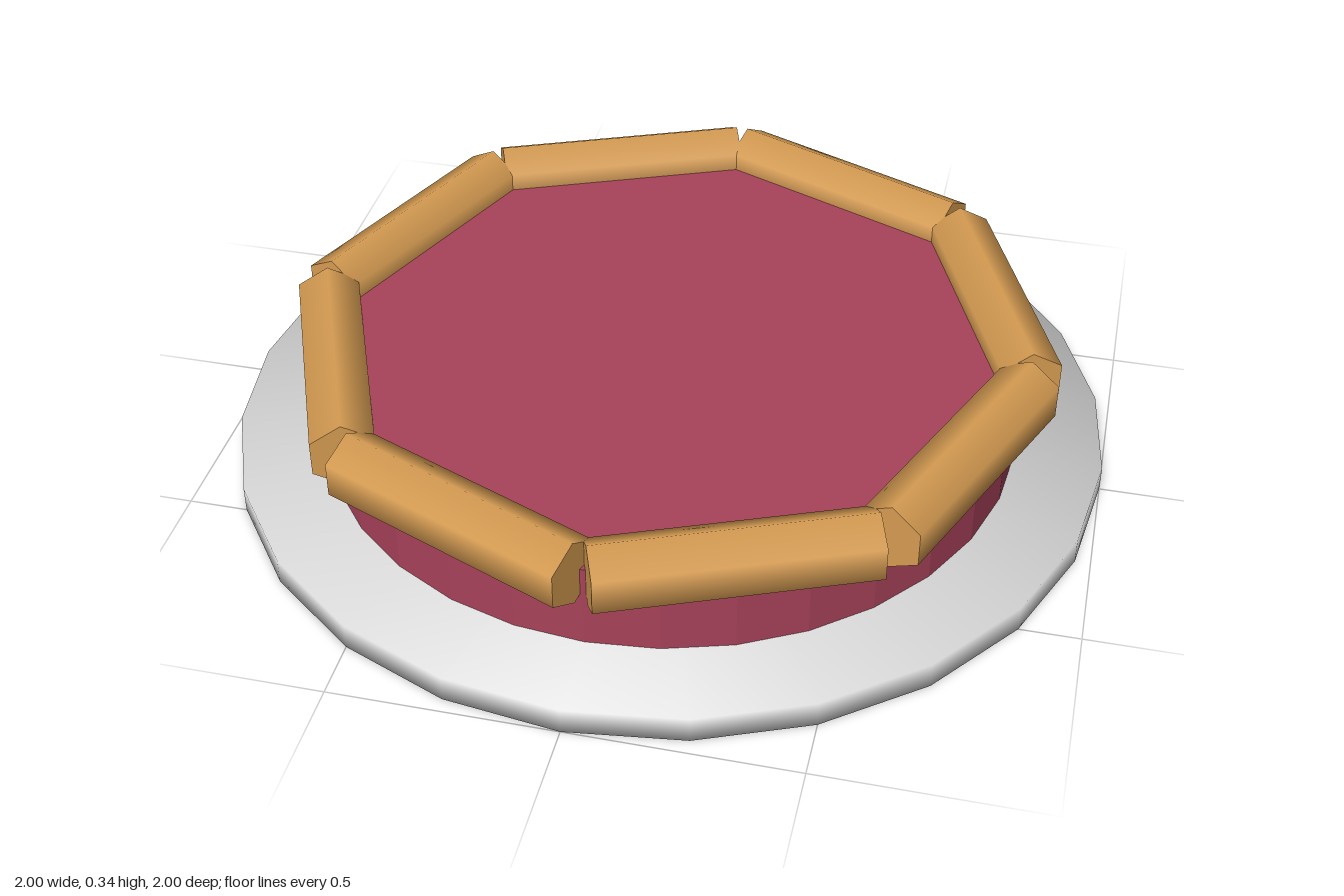
import * as THREE from 'three';

const plateGrey = new THREE.MeshStandardMaterial({ color: 0xd9d9d9 });
plateGrey.name = 'plateGrey';
const fillingRed = new THREE.MeshStandardMaterial({ color: 0xa8425a });
fillingRed.name = 'fillingRed';
const biscuitTan = new THREE.MeshStandardMaterial({ color: 0xd69c52 });
biscuitTan.name = 'biscuitTan';

// Thin disc whose rim normals blend the side and the faces softly
function softDisc(radius, height, sides) {
  const geo = new THREE.CylinderGeometry(radius, radius, height, sides);
  const pos = geo.attributes.position;
  const n = new THREE.Vector3();
  for (let i = 0; i < pos.count; i++) {
    const x = pos.getX(i) / radius, z = pos.getZ(i) / radius;
    n.set(x, Math.sign(pos.getY(i)), z).normalize();
    geo.attributes.normal.setXYZ(i, n.x, n.y, n.z);
  }
  return geo;
}

export function createModel() {
  const model = new THREE.Group();
  model.name = 'cakeOnPlate';

  const plate = new THREE.Mesh(softDisc(1, 0.06, 24), plateGrey);
  plate.name = 'plate';
  plate.position.y = 0.03;
  model.add(plate);

  // Faceted cake body
  const cakeGeo = new THREE.CylinderGeometry(0.8, 0.8, 0.2, 32).toNonIndexed();
  cakeGeo.computeVertexNormals();
  const cake = new THREE.Mesh(cakeGeo, fillingRed);
  cake.name = 'cake';
  cake.position.y = 0.16;
  model.add(cake);

  // Ring of eight six-sided biscuits, one ridge of each facing up
  const biscuitGeo = new THREE.CylinderGeometry(0.08, 0.08, 0.6, 6);
  biscuitGeo.rotateY(Math.PI / 2);
  biscuitGeo.rotateZ(Math.PI / 2);
  const ring = new THREE.Group();
  ring.name = 'biscuitRing';
  for (let i = 0; i < 8; i++) {
    const angle = (i + 0.5) * Math.PI / 4;
    const biscuit = new THREE.Mesh(biscuitGeo, biscuitTan);
    biscuit.name = `biscuit${i + 1}`;
    biscuit.position.set(0.76 * Math.sin(angle), 0.262, 0.76 * Math.cos(angle));
    biscuit.rotation.y = angle;
    ring.add(biscuit);
  }
  model.add(ring);

  return model;
}
